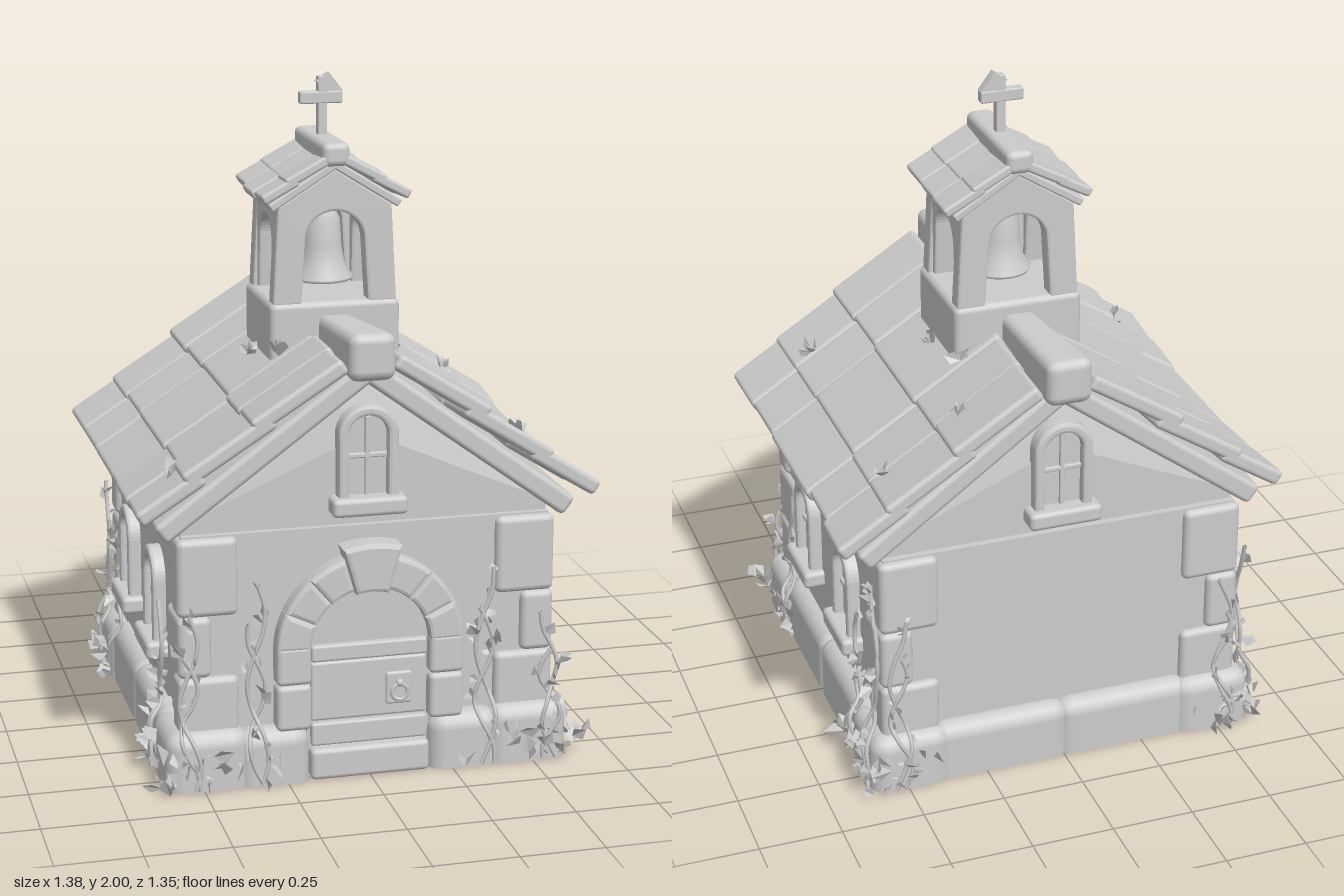
import * as THREE from 'three';
import { mergeGeometries } from 'three/addons/utils/BufferGeometryUtils.js';
import { RoundedBoxGeometry } from 'three/addons/geometries/RoundedBoxGeometry.js';

const stone = new THREE.MeshStandardMaterial({ color: 0xcccccc, side: THREE.DoubleSide });
stone.name = 'paleStone';

let seed = 7;
const rand = (a = 0, b = 1) => {
  seed = (seed * 16807) % 2147483647;
  return a + (b - a) * seed / 2147483647;
};

function add(parent, name, geo) {
  const m = new THREE.Mesh(geo, stone);
  m.name = name;
  parent.add(m);
  return m;
}
function group(parent, name, x = 0, y = 0, z = 0, ry = 0) {
  const g = new THREE.Group();
  g.name = name;
  g.position.set(x, y, z);
  g.rotation.y = ry;
  parent.add(g);
  return g;
}
// Rounded block given by its limits on each axis
function block(x0, x1, y0, y1, z0, z1, r = 0.02) {
  return new RoundedBoxGeometry(x1 - x0, y1 - y0, z1 - z0, 2, r)
    .translate((x0 + x1) / 2, (y0 + y1) / 2, (z0 + z1) / 2);
}
function extrude(shape, z0, depth, bevel = 0) {
  return new THREE.ExtrudeGeometry(shape, {
    depth: depth - 2 * bevel, bevelEnabled: bevel > 0, bevelSize: bevel,
    bevelThickness: bevel, bevelOffset: -bevel, bevelSegments: 2, curveSegments: 12,
  }).translate(0, 0, z0 + bevel);
}
// Round-headed outline: half width r, foot y0, springing y1
function archPath(r, y0, y1, Type = THREE.Shape) {
  const p = new Type();
  p.moveTo(-r, y0);
  p.lineTo(r, y0);
  p.lineTo(r, y1);
  p.absarc(0, y1, r, 0, Math.PI, false);
  p.closePath();
  return p;
}

// Arched window, origin at the wall face under the sill
function windowUnit(parent, name, x, y, z, ry) {
  const g = group(parent, name, x, y, z, ry);
  const frame = archPath(0.09, 0.03, 0.235);
  frame.holes.push(archPath(0.058, 0.05, 0.235, THREE.Path));
  add(g, 'windowFrame', extrude(frame, -0.02, 0.06, 0.01));
  add(g, 'windowPane', extrude(archPath(0.062, 0.04, 0.235), -0.02, 0.03));
  add(g, 'windowBars', mergeGeometries([
    block(-0.007, 0.007, 0.05, 0.29, 0, 0.02, 0.004),
    block(-0.06, 0.06, 0.165, 0.18, 0, 0.02, 0.004),
  ]));
  add(g, 'windowSill', block(-0.112, 0.112, 0, 0.055, -0.02, 0.065, 0.015));
}

// One pitch of a roof: deck and overlapping tile courses, sagging mid-length
function pitch(parent, o, ry) {
  const side = group(parent, 'roofPitch', 0, o.y, 0, ry);
  side.rotation.order = 'YXZ';
  side.rotation.z = -o.angle;
  add(side, 'roofDeck', block(-0.02, o.length, 0, o.deck, -o.half * 0.95, o.half * 0.95, o.deck * 0.25));
  const tiles = [];
  for (const [s0, s1] of o.courses) {
    for (let i = 0; i < o.seams.length - 1; i++) {
      const z0 = o.seams[i], z1 = o.seams[i + 1];
      const len = s1 - s0 + rand(-0.015, 0.015);
      const t = new RoundedBoxGeometry(len, o.tile, z1 - z0 + 0.004, 3, o.tile * 0.3)
        .rotateZ(0.07)
        .translate((s0 + s1) / 2, o.deck + o.tile * 0.4 + rand(-0.004, 0.004), (z0 + z1) / 2);
      const p = t.attributes.position;
      for (let k = 0; k < p.count; k++) p.setY(k, p.getY(k) + o.sag * (p.getZ(k) / o.half) ** 2);
      t.computeVertexNormals();
      tiles.push(t);
    }
  }
  add(side, 'roofTiles', mergeGeometries(tiles));
}

// Folded four-cornered leaf, random in direction
function pushLeaf(list, x, y, z, size) {
  const q = new THREE.Quaternion().setFromEuler(new THREE.Euler(rand(-1.2, 1.2), rand(0, 6.28), rand(-1.2, 1.2)));
  const [a, b, c, d] = [[0, 0, 0], [0.38, 0.5, 0.15], [0, 1, 0], [-0.38, 0.5, 0.15]].map(v => {
    const w = new THREE.Vector3(...v).multiplyScalar(size).applyQuaternion(q);
    return [x + w.x, Math.max(0.002, y + w.y), z + w.z];
  });
  list.push(...a, ...b, ...c, ...a, ...c, ...d);
}
function leafMesh(parent, name, list) {
  const g = new THREE.BufferGeometry();
  g.setAttribute('position', new THREE.Float32BufferAttribute(list, 3));
  g.computeVertexNormals();
  add(parent, name, g);
}

export function createModel() {
  const model = new THREE.Group();
  model.name = 'chapel';

  // Walls and gable
  add(model, 'walls', new THREE.BoxGeometry(1.1, 0.76, 1.1).translate(0, 0.38, 0));
  const gable = new THREE.Shape([[-0.55, 0.75], [0.55, 0.75], [0.55, 0.79], [0, 1.03], [-0.55, 0.79]]
    .map(p => new THREE.Vector2(...p)));
  add(model, 'gable', extrude(gable, -0.53, 1.06));

  // Footing stones, flat on the ground
  const footing = [];
  const foot = (...b) => {
    const g = block(...b, 0.05), p = g.attributes.position;
    for (let i = 0; i < p.count; i++) p.setY(i, Math.max(0, p.getY(i)));
    footing.push(g);
  };
  for (const s of [-1, 1]) {
    foot(Math.min(s * 0.18, s * 0.4), Math.max(s * 0.18, s * 0.4), -0.06, 0.17, 0.45, 0.61);
    for (const t of [-1, 1]) foot(s * 0.485 - 0.125, s * 0.485 + 0.125, -0.06, 0.18, t * 0.485 - 0.125, t * 0.485 + 0.125);
    for (const z of [-0.2, 0.2]) foot(s * 0.52 - 0.08, s * 0.52 + 0.08, -0.06, 0.19, z - 0.22, z + 0.22);
    foot(s * 0.2 - 0.22, s * 0.2 + 0.22, -0.06, 0.18, -0.6, -0.44);
  }
  add(model, 'footing', mergeGeometries(footing));

  // Corner stones, long and short in turn
  const quoins = [];
  [[0.15, 0.335], [0.335, 0.52], [0.52, 0.755]].forEach(([y0, y1], i) => {
    for (const sx of [-1, 1]) for (const sz of [-1, 1]) {
      const lx = i % 2 ? 0.1 : 0.18, lz = i % 2 ? 0.18 : 0.1;
      quoins.push(block(-lx / 2, lx / 2, y0, y1, -lz / 2, lz / 2, 0.02)
        .translate(sx * (0.567 - lx / 2), 0, sz * (0.572 - lz / 2)));
    }
  });
  add(model, 'cornerStones', mergeGeometries(quoins));

  // Doorway
  const door = group(model, 'doorway');
  add(door, 'door', extrude(archPath(0.185, 0, 0.4), 0.53, 0.035));
  add(door, 'doorPlanks', mergeGeometries([
    block(-0.175, 0.175, 0.1, 0.17, 0.55, 0.585, 0.008), block(-0.175, 0.175, 0.175, 0.355, 0.55, 0.575, 0.008),
    block(-0.175, 0.175, 0.36, 0.41, 0.55, 0.585, 0.008),
  ]));
  add(door, 'doorStep', block(-0.18, 0.18, 0, 0.095, 0.5, 0.605, 0.015));
  add(door, 'handlePlate', block(0.05, 0.13, 0.21, 0.31, 0.56, 0.583, 0.008));
  add(door, 'handleRing', new THREE.TorusGeometry(0.024, 0.006, 6, 16).translate(0.09, 0.25, 0.59));
  add(door, 'handleKnob', new THREE.SphereGeometry(0.012, 10, 8).translate(0.09, 0.278, 0.588));
  const jambs = [];
  for (const s of [-1, 1]) for (const [y0, y1] of [[0.16, 0.3], [0.3, 0.42]])
    jambs.push(block(s * 0.23 - 0.052, s * 0.23 + 0.052, y0, y1, 0.5, 0.605, 0.016));
  add(door, 'doorJambs', mergeGeometries(jambs));
  const wedge = (a0, a1, r0, r1) => {
    const s = new THREE.Shape();
    s.absarc(0, 0.4, r1, a0, a1, false);
    s.absarc(0, 0.4, r0, a1, a0, true);
    return s;
  };
  const vous = [];
  for (const base of [0.02, Math.PI / 2 + 0.28])
    for (let i = 0; i < 3; i++) vous.push(extrude(wedge(base + i * 0.425, base + i * 0.425 + 0.42, 0.18, 0.282), 0.5, 0.105, 0.012));
  add(door, 'archStones', mergeGeometries(vous));
  add(door, 'keystone', extrude(wedge(Math.PI / 2 - 0.28, Math.PI / 2 + 0.28, 0.175, 0.32), 0.5, 0.125, 0.012));

  // Windows
  for (const s of [-1, 1]) {
    for (const z of [-0.21, 0.21]) windowUnit(model, 'sideWindow', s * 0.55, 0.31, z, s * Math.PI / 2);
    windowUnit(model, 'gableWindow', 0, 0.795, s * 0.53, s > 0 ? 0 : Math.PI);
  }

  // Main roof and ridge
  const roof = group(model, 'mainRoof');
  for (const ry of [0, Math.PI]) pitch(roof, {
    y: 1.18, angle: 0.633, length: 0.735, deck: 0.065, half: 0.6, tile: 0.048, sag: 0.03,
    courses: [[0.02, 0.34], [0.28, 0.58], [0.53, 0.755]], seams: [-0.6, -0.4, -0.2, 0.2, 0.4, 0.6],
  }, ry);
  const ridge = [];
  for (const s of [-1, 1]) {
    const g = block(-0.07, 0.07, 1.2, 1.34, -0.24, 0.24, 0.03), p = g.attributes.position;
    for (let i = 0; i < p.count; i++) {
      const t = (p.getZ(i) * s + 0.24) / 0.48;
      p.setX(i, p.getX(i) * (0.72 + 0.28 * t));
      p.setY(i, p.getY(i) - 0.045 * (1 - t));
    }
    ridge.push(g.translate(0, 0, s * 0.375));
  }
  add(roof, 'ridgeBeam', mergeGeometries(ridge));

  // Bell tower: four walls with open arches
  const tower = group(model, 'bellTower');
  add(tower, 'towerBase', block(-0.2, 0.2, 1.15, 1.34, -0.175, 0.175, 0.02));
  const openWall = (hw, r, spring, peak) => {
    const s = new THREE.Shape();
    s.moveTo(-hw - 0.008, 1.33);
    s.lineTo(-r - 0.012, 1.33);
    s.lineTo(-r, spring);
    s.absarc(0, spring, r, Math.PI, 0, true);
    s.lineTo(r + 0.012, 1.33);
    s.lineTo(hw + 0.008, 1.33);
    s.lineTo(hw - 0.008, 1.63);
    s.lineTo(0, peak);
    s.lineTo(-hw + 0.008, 1.63);
    s.closePath();
    return s;
  };
  for (const s of [-1, 1]) {
    add(tower, 'archedWall', extrude(openWall(0.182, 0.09, 1.52, 1.74), s * 0.137 - 0.03, 0.06, 0.008));
    add(tower, 'archedWall', extrude(openWall(0.158, 0.08, 1.5, 1.632), s * 0.145 - 0.03, 0.06, 0.008).rotateY(Math.PI / 2));
  }
  for (const ry of [0, Math.PI]) pitch(tower, {
    y: 1.735, angle: 0.56, length: 0.225, deck: 0.025, half: 0.185, tile: 0.03, sag: 0.008,
    courses: [[0, 0.14], [0.11, 0.235]], seams: [-0.185, -0.065, 0.06, 0.185],
  }, ry);
  add(tower, 'towerRidge', block(-0.042, 0.042, 1.745, 1.815, -0.19, 0.19, 0.02));
  const bellProfile = [[0, 1.61], [0.035, 1.6], [0.055, 1.56], [0.06, 1.48], [0.07, 1.42], [0.095, 1.385], [0.09, 1.375], [0.06, 1.42]]
    .reverse().map(p => new THREE.Vector2(...p));
  add(tower, 'bell', new THREE.LatheGeometry(bellProfile, 24));
  add(tower, 'bellHanger', new THREE.CylinderGeometry(0.015, 0.015, 0.12, 8).translate(0, 1.66, 0));
  add(tower, 'bellClapper', new THREE.SphereGeometry(0.022, 10, 8).translate(0, 1.39, 0));

  // Weathered cross
  const cross = group(tower, 'cross');
  add(cross, 'crossPost', block(-0.014, 0.014, 1.8, 1.99, -0.015, 0.015, 0.004));
  add(cross, 'crossArm', block(-0.07, 0.062, 1.908, 1.945, -0.016, 0.016, 0.005));
  const chip = new THREE.Shape([[-0.02, 1.975], [0.012, 1.945], [0.062, 1.945], [0.02, 2.0]].map(p => new THREE.Vector2(...p)));
  add(cross, 'crossTop', extrude(chip, -0.015, 0.03));

  // Ivy: [offset along the wall, height] for each of the four walls
  const vines = [
    [[-0.54, 0.52], [-0.34, 0.6], [0.35, 0.6], [0.55, 0.45]],
    [[-0.37, 0.5], [0.37, 0.48], [0.55, 0.66]],
    [[-0.52, 0.55], [0.52, 0.5]],
    [[-0.37, 0.48], [0.37, 0.5], [-0.55, 0.6]],
  ];
  vines.forEach((list, k) => {
    const g = group(model, 'ivy', 0, 0, 0, k * Math.PI / 2);
    const leaves = [];
    for (const [u, h] of list) {
      for (let j = 0; j < 2; j++) {
        const ph = rand(0, 6), pts = [];
        for (let i = 0; i <= 8; i++) {
          const y = 0.01 + (h - j * 0.12) * i / 8;
          pts.push(new THREE.Vector3(u + 0.028 * Math.sin(i * 1.1 + ph), y, y < 0.18 ? 0.618 : 0.582));
        }
        const curve = new THREE.CatmullRomCurve3(pts);
        add(g, 'vineStem', new THREE.TubeGeometry(curve, 28, 0.007, 5));
        for (let i = 0; i < 9; i++) {
          const p = curve.getPoint(rand(0.1, 1));
          pushLeaf(leaves, p.x, p.y, p.z, rand(0.03, 0.06));
        }
      }
      for (let i = 0; i < 9; i++) pushLeaf(leaves, u + rand(-0.1, 0.1), rand(0, 0.12), 0.615, rand(0.04, 0.07));
    }
    for (let i = 0; i < 14; i++) pushLeaf(leaves, (i % 2 ? 1 : -1) * rand(0.48, 0.63), rand(0, 0.1), 0.62, rand(0.04, 0.07));
    leafMesh(g, 'ivyLeaves', leaves);
  });

  // Sprigs on the roof
  const sprigs = [];
  for (const [x, z] of [[0.28, -0.43], [0.5, -0.41], [0.48, 0.42], [-0.55, 0.45], [-0.23, 0], [0.22, 0], [-0.18, 0.2], [0.19, -0.19]])
    for (let i = 0; i < 5; i++) pushLeaf(sprigs, x, 1.32 - 0.733 * Math.abs(x), z, rand(0.04, 0.065));
  leafMesh(model, 'roofSprigs', sprigs);

  return model;
}
